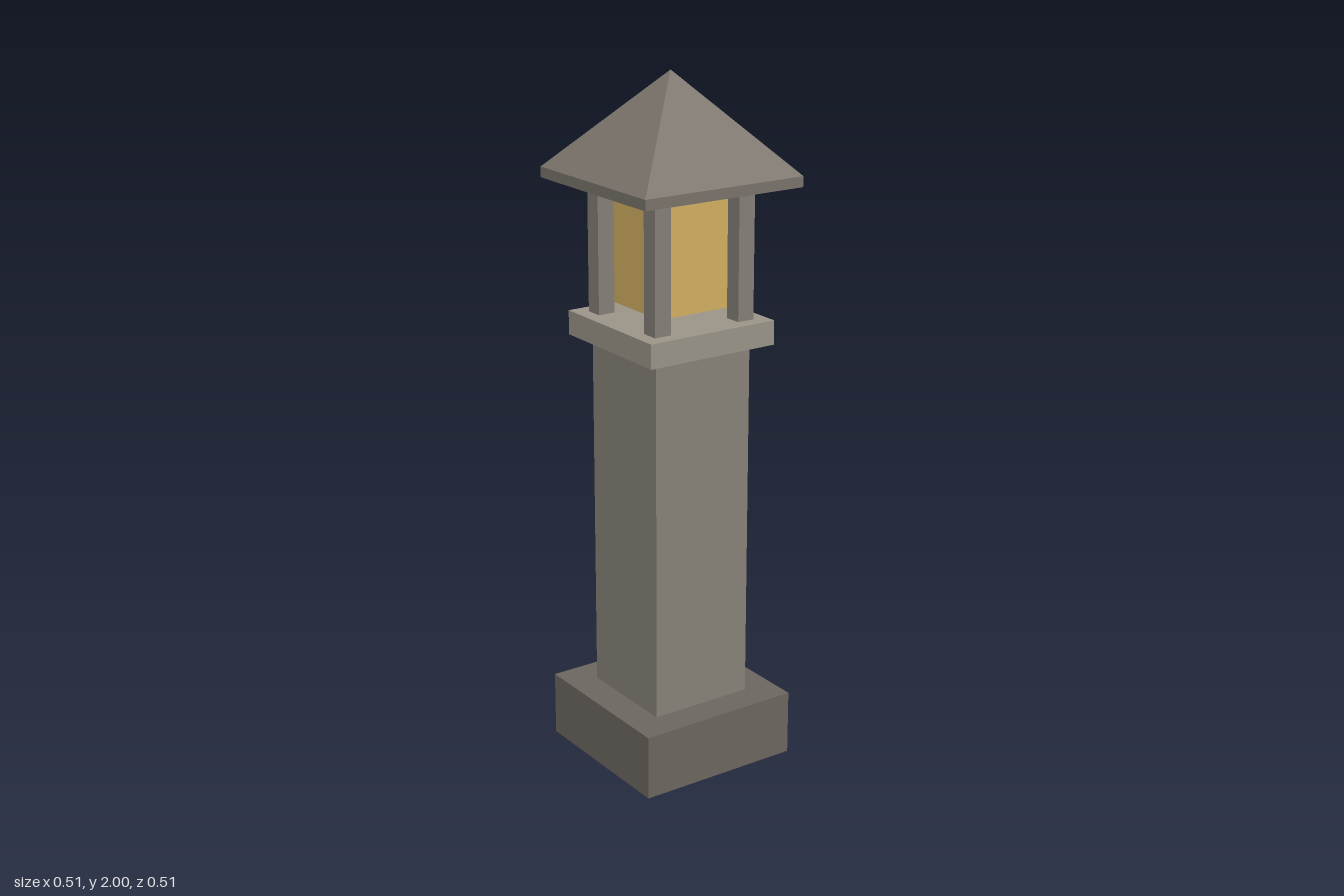
import * as THREE from 'three';

const material = (color) => new THREE.MeshStandardMaterial({ color, flatShading: true });

export function createModel() {
  const group = new THREE.Group();
  const baseStone = material(0x6e6860);
  const shaftStone = material(0x8a847a);
  const capStone = material(0x9d978b);
  const postStone = material(0x87817a);
  const roofStone = material(0x7c756d);
  const glow = material(0xd6b363);

  // Square block of half width w between heights y0 and y1
  const block = (name, w, y0, y1, mat, x = 0, z = 0) => {
    const mesh = new THREE.Mesh(new THREE.BoxGeometry(2 * w, y1 - y0, 2 * w), mat);
    mesh.name = name;
    mesh.position.set(x, (y0 + y1) / 2, z);
    group.add(mesh);
  };

  // Pedestal
  block('base', 0.248, 0, 0.19, baseStone);
  block('shaft', 0.157, 0.19, 1.25, shaftStone);
  block('cap', 0.205, 1.25, 1.32, capStone);

  // Lamp chamber: floating light box between four corner posts
  block('lightBox', 0.112, 1.35, 1.66, glow);
  for (const sx of [-1, 1]) {
    for (const sz of [-1, 1]) {
      block(`${sz > 0 ? 'front' : 'back'}${sx > 0 ? 'Left' : 'Right'}Post`,
        0.026, 1.32, 1.695, postStone, sx * 0.138, sz * 0.138);
    }
  }

  // Roof: thin eave slab with a pyramid on top
  block('eave', 0.256, 1.695, 1.725, roofStone);
  const pyramid = new THREE.ConeGeometry(0.256 * Math.SQRT2, 0.275, 4);
  pyramid.rotateY(Math.PI / 4);
  const roof = new THREE.Mesh(pyramid, roofStone);
  roof.name = 'roof';
  roof.position.y = 1.725 + 0.275 / 2;
  group.add(roof);

  return group;
}
